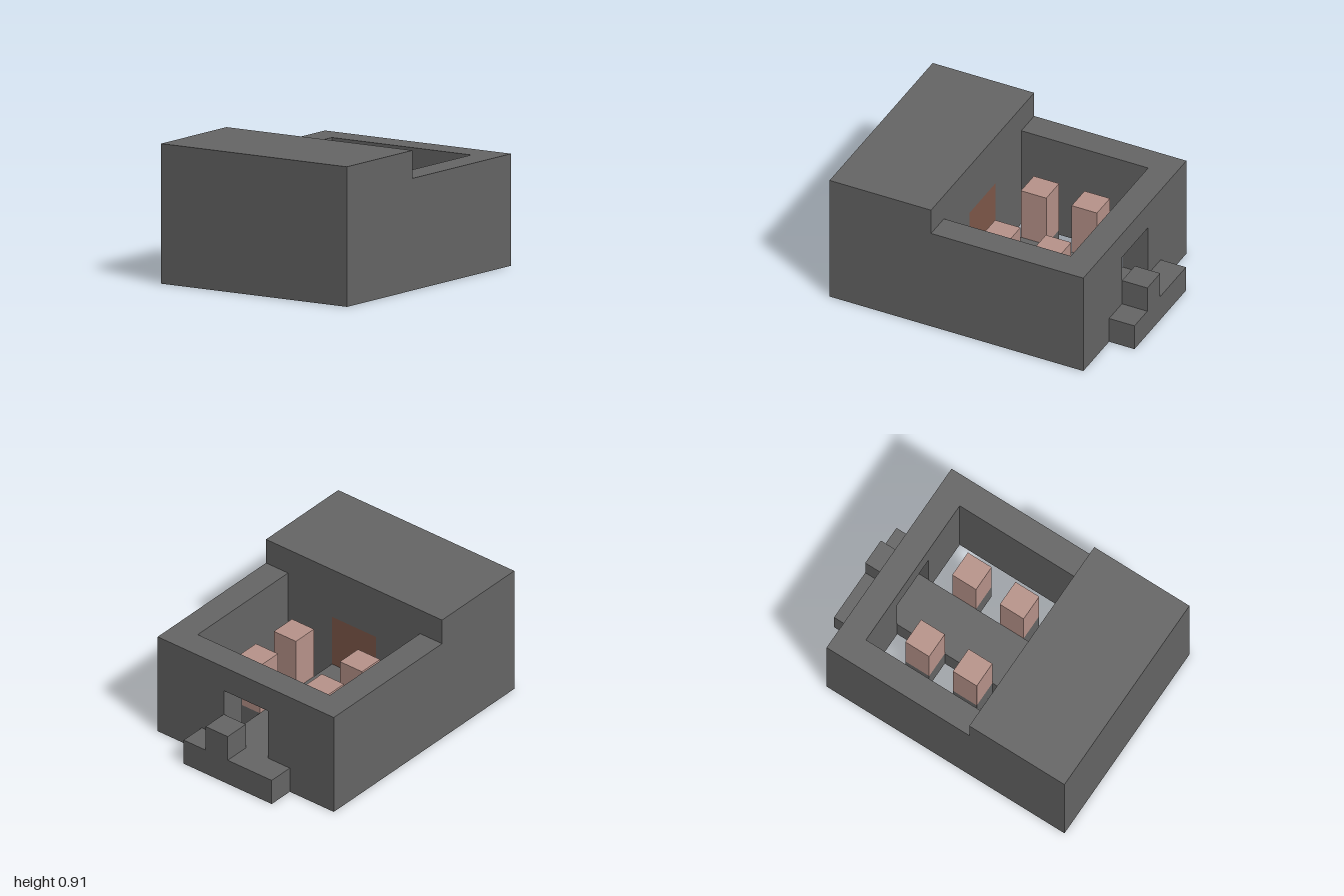
import * as THREE from 'three';

// Everything sits on a block grid, eleven blocks long
const U = 2 / 11;

export function createModel() {
  const model = new THREE.Group();
  model.name = 'blockHouse';

  const material = (name, color) => {
    const m = new THREE.MeshStandardMaterial({ color });
    m.name = name;
    return m;
  };
  const grey = material('stone grey', 0x666666);
  const pink = material('dusty pink', 0xb9948b);
  const brown = material('earth brown', 0x80594a);

  const add = (name, geometry, mat) => {
    const mesh = new THREE.Mesh(geometry.scale(U, U, U), mat);
    mesh.name = name;
    model.add(mesh);
  };

  // Box given by its limits in blocks
  const box = (name, mat, [x0, x1], [y0, y1], [z0, z1]) =>
    add(name, new THREE.BoxGeometry(x1 - x0, y1 - y0, z1 - z0)
      .translate((x0 + x1) / 2, (y0 + y1) / 2, (z0 + z1) / 2), mat);

  // Upright prism on a floor plan of [x, z] points
  const prism = (name, mat, plan, height) => {
    const shape = new THREE.Shape(plan.map(([x, z]) => new THREE.Vector2(x, z)));
    const geometry = new THREE.ExtrudeGeometry(shape, { depth: height, bevelEnabled: false });
    add(name, geometry.rotateX(Math.PI / 2).translate(0, height, 0), mat);
  };

  // Front block, with a brown core showing at its inner wall and underside
  const core = [
    [-1, 1.5], [-1, 2.5], [-3, 2.5], [-3, 4.5], [-1, 4.5], [-1, 3.5],
    [1, 3.5], [1, 4.5], [3, 4.5], [3, 2.5], [1, 2.5], [1, 1.5],
  ];
  prism('core', brown, core, 3);
  prism('frontBlockLower', grey, [[4, 1.5], [4, 5.5], [-4, 5.5], [-4, 1.5], ...core], 3);
  box('frontBlockUpper', grey, [-4, 4], [3, 5], [1.5, 5.5]);

  // Central floor, open on both sides
  box('floor', grey, [-1, 1], [0, 1], [-4.5, 1.5]);

  for (const side of [-1, 1]) {
    const span = (a, b) => (side > 0 ? [a, b] : [-b, -a]);
    box('sideWall', grey, span(3, 4), [0, 4], [-4.5, 1.5]);
    box('backWall', grey, span(1, 3), [0, 4], [-4.5, -3.5]);
    // Seats on floor tabs
    for (const z of [-2, 0]) {
      box('seatBase', grey, span(1, 2), [0, 1], [z - 0.5, z + 0.5]);
      box('seat', pink, span(1, 2), [1, 3], [z - 0.5, z + 0.5]);
    }
  }

  // Rear doorway and doorstep
  box('doorLintel', grey, [-1, 1], [3, 4], [-4.5, -3.5]);
  box('doorstep', grey, [-2, 2], [0, 1], [-5.5, -4.5]);
  box('doorstepBlock', grey, [0, 1], [1, 2], [-5.5, -4.5]);

  return model;
}
